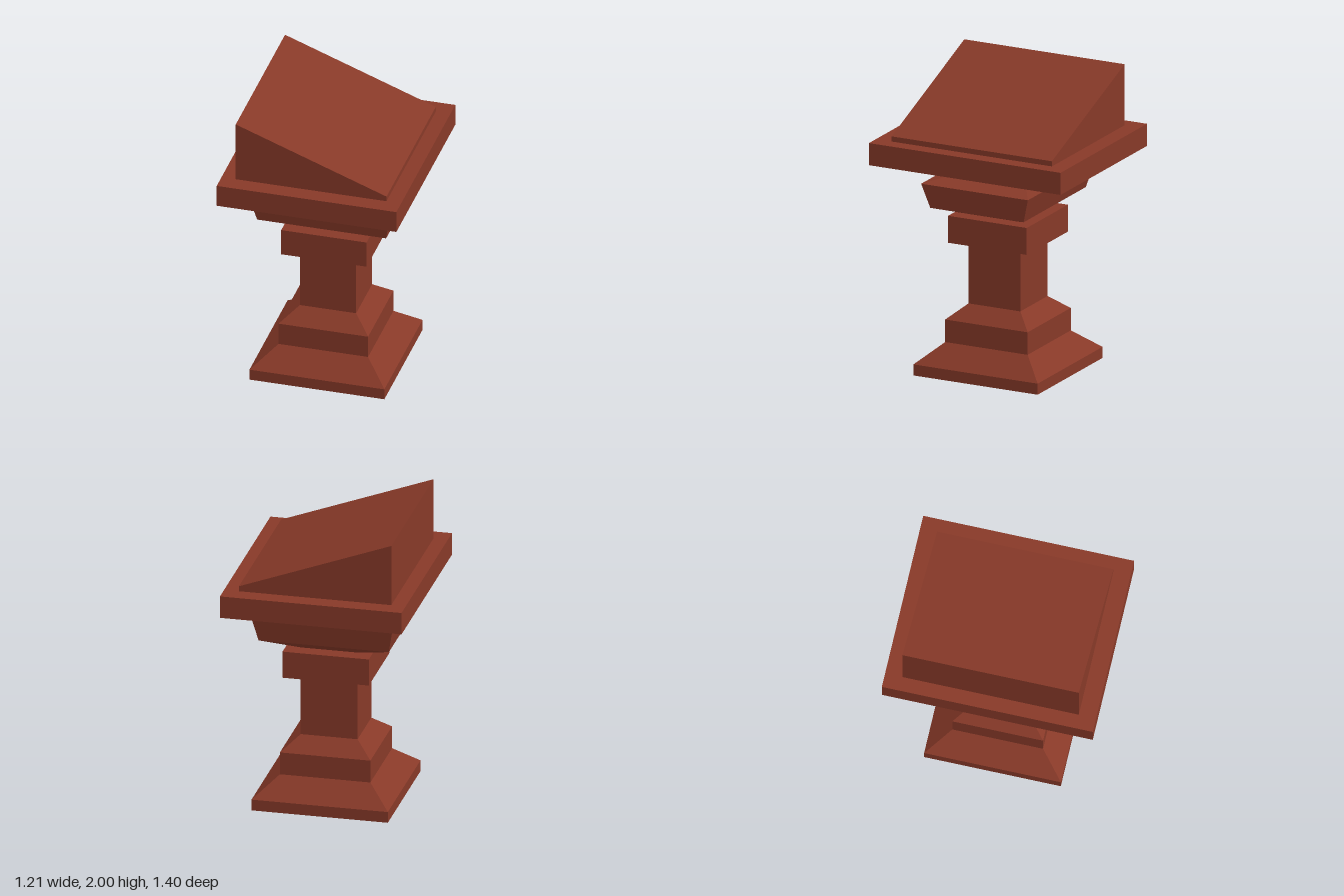
import * as THREE from 'three';

// Stack of rectangular rings [y, halfX, halfZ], closed at both ends, with flat faces
function rectLoft(rings) {
  const pos = [];
  const corners = rings.map(([y, hx, hz = hx]) => [[hx, y, hz], [hx, y, -hz], [-hx, y, -hz], [-hx, y, hz]]);
  const quad = (a, b, c, d) => pos.push(...a, ...b, ...c, ...a, ...c, ...d);
  for (let r = 0; r < corners.length - 1; r++) {
    const lo = corners[r], hi = corners[r + 1];
    for (let i = 0; i < 4; i++) {
      const j = (i + 1) % 4;
      quad(lo[i], lo[j], hi[j], hi[i]);
    }
  }
  const bottom = corners[0], top = corners[corners.length - 1];
  quad(bottom[3], bottom[2], bottom[1], bottom[0]);
  quad(top[0], top[1], top[2], top[3]);
  const geo = new THREE.BufferGeometry();
  geo.setAttribute('position', new THREE.Float32BufferAttribute(pos, 3));
  geo.computeVertexNormals();
  return geo;
}

export function createModel() {
  const group = new THREE.Group();
  const wood = new THREE.MeshStandardMaterial({ color: 0x873928 });
  wood.name = 'redBrownWood';

  const add = (name, geometry) => {
    const mesh = new THREE.Mesh(geometry, wood);
    mesh.name = name;
    group.add(mesh);
  };

  // Stepped foot, square shaft and collar
  add('base', rectLoft([[0, 0.455], [0.075, 0.455], [0.207, 0.302], [0.36, 0.302], [0.455, 0.19]]));
  add('shaft', rectLoft([[0.455, 0.19], [0.88, 0.19]]));
  add('collar', rectLoft([[0.88, 0.288], [1.063, 0.288]]));

  // Flared capital, wider in x than in z
  add('capital', rectLoft([
    [1.063, 0.19, 0.19], [1.15, 0.435, 0.342], [1.316, 0.469, 0.391],
    [1.335, 0.278, 0.278], [1.435, 0.215, 0.215],
  ]));

  // Table slab
  add('slab', rectLoft([[1.435, 0.606, 0.702], [1.585, 0.606, 0.702]]));

  // Sloping desk top, high on the -x side
  const wedge = new THREE.Shape([
    new THREE.Vector2(-0.51, 1.585), new THREE.Vector2(0.507, 1.585),
    new THREE.Vector2(0.507, 1.62), new THREE.Vector2(-0.51, 2),
  ]);
  const deskGeo = new THREE.ExtrudeGeometry(wedge, { depth: 1.174, bevelEnabled: false });
  deskGeo.translate(0, 0, -0.587);
  add('slopedDesk', deskGeo);

  return group;
}
